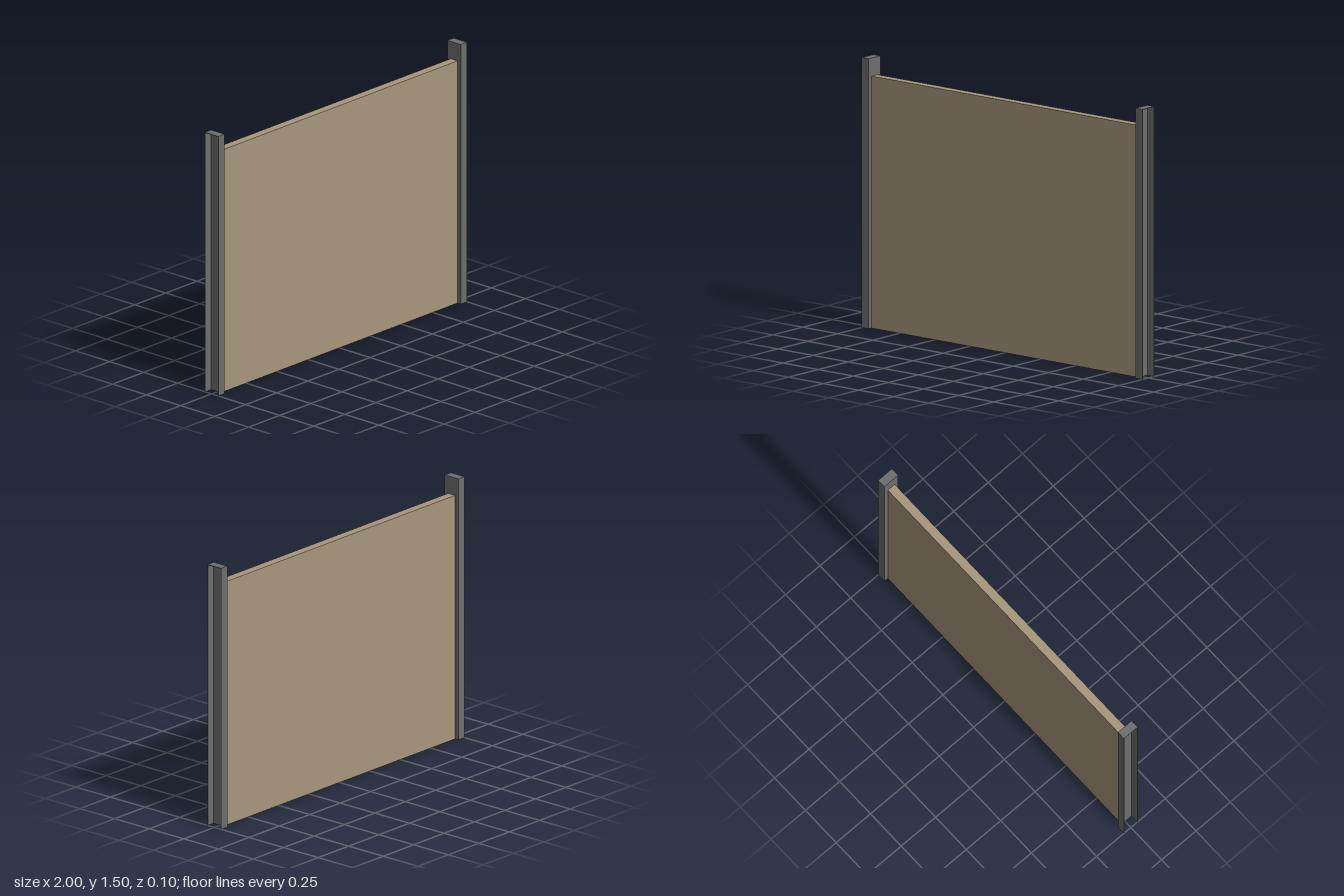
import * as THREE from 'three';

const HEIGHT = 1.5, WIDTH = 0.05, HALF_DEPTH = 0.05, SHEET = 0.003;

export function createModel() {
  const model = new THREE.Group();
  model.name = 'fencePanel';

  const metal = new THREE.MeshStandardMaterial({ color: 0x6e6e6e });
  metal.name = 'grey metal';
  const board = new THREE.MeshStandardMaterial({ color: 0xa8977d });
  board.name = 'tan board';

  const box = (name, material, w, h, d, x, y, parent) => {
    const mesh = new THREE.Mesh(new THREE.BoxGeometry(w, h, d), material);
    mesh.name = name;
    mesh.position.set(x, y, 0);
    parent.add(mesh);
  };

  // infill board between the posts
  box('panel', board, 1.9, 1.4, 0.05, 0, 0.7, model);

  // thin sheet channel, open outwards (+x) and at the foot
  const profile = new THREE.Shape([
    [0, -HALF_DEPTH], [WIDTH, -HALF_DEPTH], [WIDTH, -HALF_DEPTH + SHEET], [SHEET, -HALF_DEPTH + SHEET],
    [SHEET, HALF_DEPTH - SHEET], [WIDTH, HALF_DEPTH - SHEET], [WIDTH, HALF_DEPTH], [0, HALF_DEPTH],
  ].map(([x, y]) => new THREE.Vector2(x, y)));
  const channelGeometry = new THREE.ExtrudeGeometry(profile, { depth: HEIGHT - SHEET, bevelEnabled: false });
  channelGeometry.rotateX(-Math.PI / 2);

  // the same post at both ends, turned to face outwards
  for (const side of [1, -1]) {
    const post = new THREE.Group();
    post.name = side > 0 ? 'leftPost' : 'rightPost';
    const channel = new THREE.Mesh(channelGeometry, metal);
    channel.name = 'channel';
    post.add(channel);
    // closing plate on top
    box('cap', metal, WIDTH, SHEET, HALF_DEPTH * 2, WIDTH / 2, HEIGHT - SHEET / 2, post);
    post.position.x = side * 0.95;
    post.rotation.y = side > 0 ? 0 : Math.PI;
    model.add(post);
  }

  return model;
}
